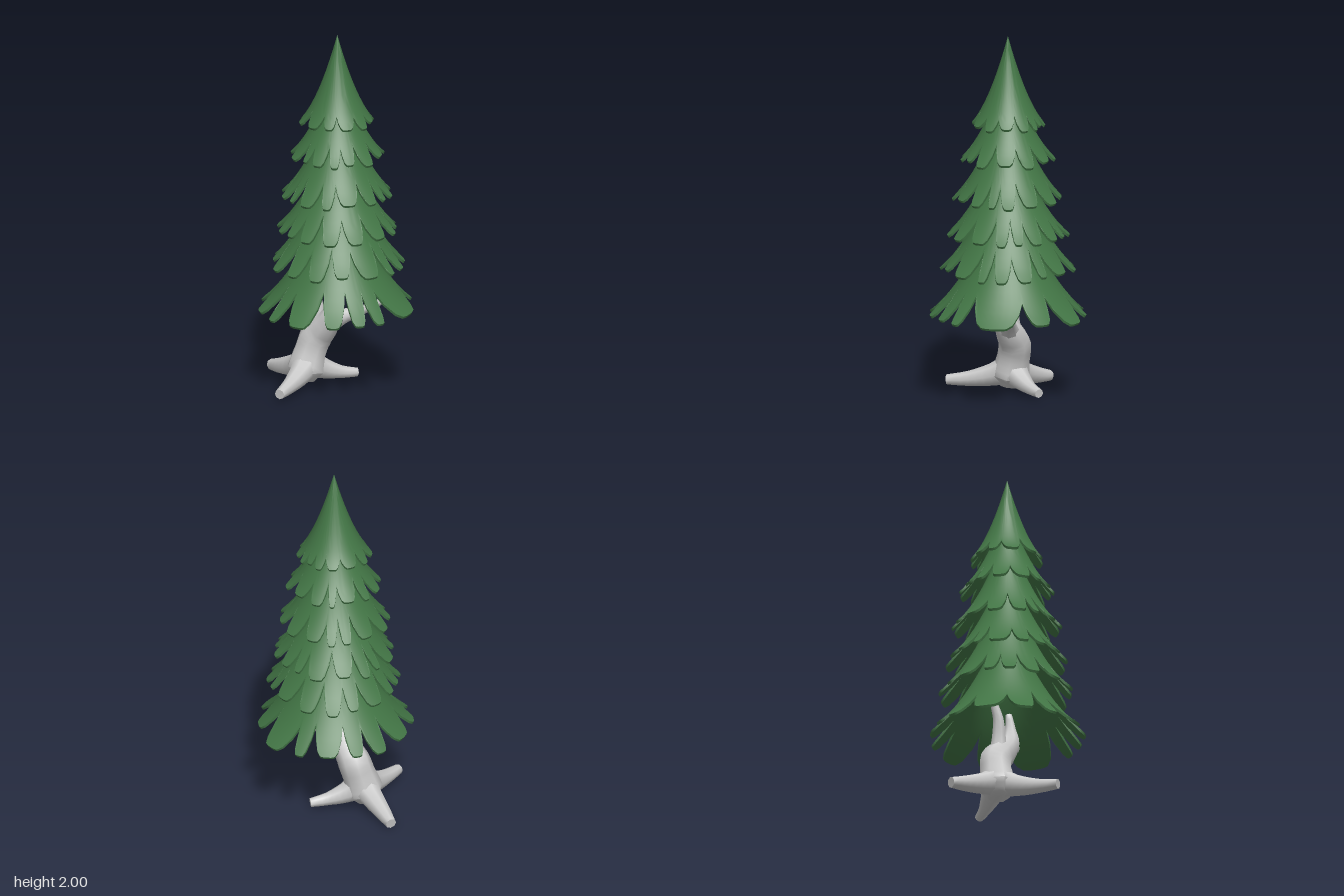
import * as THREE from 'three';
import { toCreasedNormals } from 'three/addons/utils/BufferGeometryUtils.js';

const { lerp } = THREE.MathUtils;

// Seeded random numbers, so that the foliage varies but stays repeatable
let seed = 11;
const random = () => {
  seed = (seed * 16807) % 2147483647;
  return seed / 2147483647;
};

// Surface through a grid of points, columns around and rows along
function gridGeometry(columns, crease) {
  const rows = columns[0].length;
  const index = [];
  for (let i = 0; i < columns.length - 1; i++) {
    for (let j = 0; j < rows - 1; j++) {
      const a = i * rows + j, b = a + rows;
      index.push(a, b, a + 1, b, b + 1, a + 1);
    }
  }
  const geometry = new THREE.BufferGeometry().setFromPoints(columns.flat());
  geometry.setIndex(index);
  return toCreasedNormals(geometry, crease);
}

// Flared skirt of foliage, with a thin shell and blunt lobes along its rim
function tierGeometry({ bottom, radius, height, start, notch, widths }) {
  const total = widths.reduce((sum, w) => sum + w, 0);
  const coneRows = 7, lobeRows = 4, rowCount = coneRows + lobeRows;
  const half = 5, bow = 1.55, columns = [];
  let angle = -8 * Math.PI / 180;
  let leftNotch = notch;
  widths.forEach((w, k) => {
    const span = (w / total) * Math.PI * 2;
    const rightNotch = k === widths.length - 1 ? notch : notch + (random() - 0.4) * 0.1;
    const tip = 0.94 + random() * 0.07;
    for (let i = -half; i <= half; i++) {
      const u = Math.sin((i / half) * Math.PI / 2);
      const valley = u < 0 ? leftNotch : rightNotch;
      const reach = valley + (tip - valley) * Math.pow(1 - Math.abs(u) ** 6, 0.7);
      const column = [];
      const point = (j, inner) => {
        const base = notch - 0.05;
        const t = j <= coneRows ? lerp(start, base, j / coneRows) : lerp(base, reach, (j - coneRows) / lobeRows);
        // the lobe narrows beyond the notch, leaving a gap to its neighbour
        const narrow = 1 - 0.38 * Math.max(0, (t - valley) / (1 - valley));
        const a = angle + span * (0.5 + 0.5 * u * narrow);
        const r = Math.max(0, radius * t - inner * 0.006);
        const y = bottom + height * (1 - t * (bow - (bow - 1) * t)) - inner * 0.012;
        column.push(new THREE.Vector3(r * Math.cos(a), y, r * Math.sin(a)));
      };
      for (let j = 0; j <= rowCount; j++) point(j, 0);
      for (let j = rowCount; j >= 0; j--) point(j, 1);
      columns.push(column);
    }
    angle += span;
    leftNotch = rightNotch;
  });
  return gridGeometry(columns, 0.9);
}

// Tapering limb along a path of [x, y, z, radius] points, closed at both ends
function limbGeometry(path, sides = 8) {
  const points = path.map(([x, y, z]) => new THREE.Vector3(x, y, z));
  const curve = new THREE.CatmullRomCurve3(points);
  const steps = (path.length - 1) * 3;
  const columns = Array.from({ length: sides + 1 }, () => []);
  // the rings are turned to a fixed direction square to the whole limb
  const chord = points[points.length - 1].clone().sub(points[0]);
  const reference = Math.abs(chord.y) > Math.hypot(chord.x, chord.z)
    ? new THREE.Vector3(1, 0, 0) : new THREE.Vector3(0, 1, 0);
  const addRing = (t, closed) => {
    const centre = curve.getPoint(t), tangent = curve.getTangent(t);
    const n = reference.clone().addScaledVector(tangent, -reference.dot(tangent)).normalize();
    const b = tangent.clone().cross(n);
    const k = Math.min(Math.floor(t * (path.length - 1)), path.length - 2);
    const r = closed ? 0 : lerp(path[k][3], path[k + 1][3], t * (path.length - 1) - k);
    columns.forEach((column, i) => {
      const a = (i % sides) / sides * Math.PI * 2;
      column.push(centre.clone().addScaledVector(n, r * Math.cos(a)).addScaledVector(b, r * Math.sin(a)));
    });
  };
  addRing(0, true);
  for (let s = 0; s <= steps; s++) addRing(s / steps, false);
  addRing(1, true);
  return gridGeometry(columns, 1.0);
}

export function createModel() {
  const model = new THREE.Group();
  const bark = new THREE.MeshStandardMaterial({ color: 0xcccccc });
  const needles = new THREE.MeshStandardMaterial({ color: 0x427545, side: THREE.DoubleSide });
  const add = (name, geometry, material) => {
    const mesh = new THREE.Mesh(geometry, material);
    mesh.name = name;
    model.add(mesh);
  };

  const limbs = {
    // Leaning trunk, narrowing to a stub under the foliage
    trunk: [[-0.15, 0.03, -0.11, 0.06], [-0.14, 0.09, -0.11, 0.105], [-0.112, 0.19, -0.11, 0.09],
      [-0.085, 0.27, -0.1, 0.09], [-0.055, 0.34, -0.05, 0.078], [-0.035, 0.41, 0, 0.058],
      [-0.01, 0.5, 0.015, 0.033], [0, 0.6, 0.01, 0.018]],
    // Two branches forking off the trunk
    leftBranch: [[-0.06, 0.34, -0.05, 0.065], [0.02, 0.4, 0.01, 0.044], [0.11, 0.438, 0.06, 0.026],
      [0.19, 0.495, 0.125, 0.02], [0.25, 0.54, 0.165, 0.008]],
    backBranch: [[-0.075, 0.28, -0.085, 0.06], [-0.08, 0.4, -0.08, 0.042], [-0.095, 0.52, -0.09, 0.03],
      [-0.1, 0.6, -0.115, 0.022], [-0.12, 0.69, -0.135, 0.008]],
    // Three spreading roots
    backRoot: [[-0.13, 0.13, -0.09, 0.09], [-0.165, 0.085, -0.2, 0.062], [-0.2, 0.05, -0.32, 0.045], [-0.22, 0.032, -0.415, 0.03]],
    rightRoot: [[-0.12, 0.13, -0.12, 0.09], [-0.205, 0.085, -0.035, 0.062], [-0.3, 0.057, 0.055, 0.042], [-0.39, 0.045, 0.14, 0.028]],
    leftRoot: [[-0.14, 0.13, -0.11, 0.09], [-0.04, 0.08, -0.108, 0.058], [0.06, 0.05, -0.103, 0.036], [0.155, 0.037, -0.1, 0.025]],
  };
  for (const [name, path] of Object.entries(limbs)) add(name, limbGeometry(path), bark);

  // Six tiers of foliage, from the lowest up to the pointed top
  const randomWidths = (count) => Array.from({ length: count }, () => 0.6 + random() * 0.9);
  const tiers = [
    { bottom: 0.46, radius: 0.435, height: 0.74, widths: [27, 50, 16, 18, 23, 32, 17, 27, 33, 21, 18, 28, 16, 34] },
    { bottom: 0.71, radius: 0.37, height: 0.7, widths: randomWidths(16) },
    { bottom: 0.9, radius: 0.335, height: 0.62, widths: randomWidths(16) },
    { bottom: 1.1, radius: 0.305, height: 0.6, widths: randomWidths(15) },
    { bottom: 1.32, radius: 0.26, height: 0.52, widths: randomWidths(14) },
    { bottom: 1.51, radius: 0.205, height: 0.49, start: 0, notch: 0.75, widths: randomWidths(13) },
  ];
  tiers.forEach((tier, i) => {
    add('foliageTier' + (i + 1), tierGeometry({ start: 0.1, notch: 0.68, ...tier }), needles);
  });
  return model;
}
